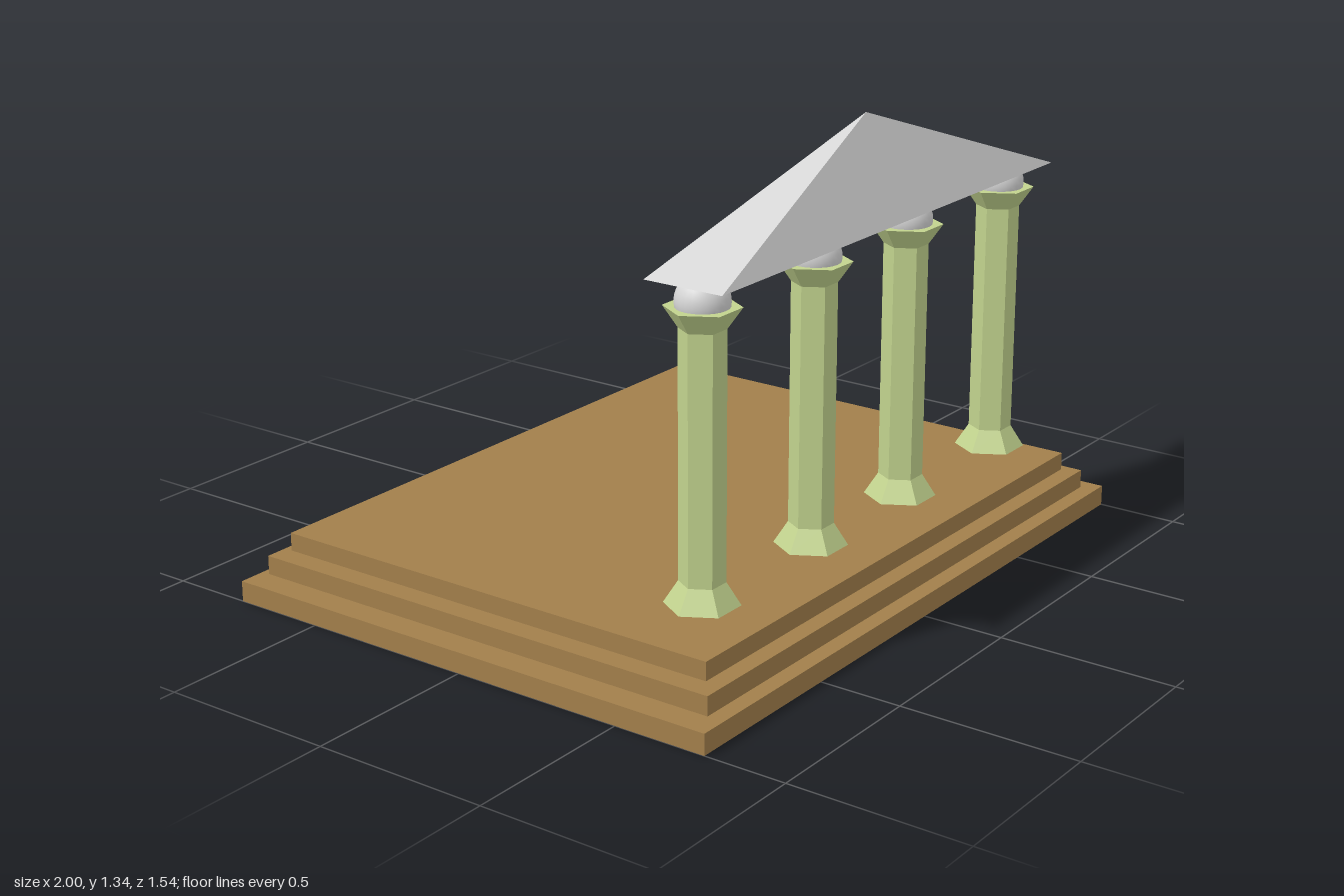
import * as THREE from 'three';

const wood = new THREE.MeshStandardMaterial({ name: 'woodBrown', color: 0xa27f4b });
const green = new THREE.MeshStandardMaterial({ name: 'paleGreen', color: 0xc2d38e });
const stone = new THREE.MeshStandardMaterial({ name: 'lightGrey', color: 0xd6d6d6 });

// Give every face its own flat normal
function facet(geometry) {
  const flat = geometry.toNonIndexed();
  flat.computeVertexNormals();
  return flat;
}

function add(parent, name, geometry, material, x, y, z) {
  const mesh = new THREE.Mesh(geometry, material);
  mesh.name = name;
  mesh.position.set(x, y, z);
  parent.add(mesh);
  return mesh;
}

// Six-sided drum with corners on the x axis, between two heights
function addDrum(parent, name, bottomRadius, topRadius, y0, y1) {
  const drum = new THREE.CylinderGeometry(topRadius, bottomRadius, y1 - y0, 6, 1, false, Math.PI / 6);
  add(parent, name, facet(drum), green, 0, (y0 + y1) / 2, 0);
}

function createColumn(x, z) {
  const column = new THREE.Group();
  column.name = 'column';
  addDrum(column, 'columnBase', 0.098, 0.06, 0.23, 0.29);
  addDrum(column, 'columnShaft', 0.06, 0.06, 0.29, 0.945);
  addDrum(column, 'columnCapital', 0.06, 0.098, 0.945, 1.0);
  add(column, 'columnBall', new THREE.SphereGeometry(0.07, 24, 16), stone, 0, 1.013, 0);
  column.position.set(x, 0, z);
  return column;
}

export function createModel() {
  const temple = new THREE.Group();
  temple.name = 'temple';

  // Stepped platform: half width, half depth, bottom, top (thin gaps between slabs)
  const steps = [
    [1.0, 0.768, 0, 0.058],
    [0.935, 0.73, 0.066, 0.119],
    [0.886, 0.69, 0.128, 0.179],
  ];
  for (const [hx, hz, y0, y1] of steps) {
    add(temple, 'step', new THREE.BoxGeometry(2 * hx, y1 - y0, 2 * hz), wood, 0, (y0 + y1) / 2, 0);
  }

  // Row of columns along the front
  for (const x of [-0.706, -0.223, 0.217, 0.705]) temple.add(createColumn(x, 0.548));

  // Pediment: stretched four-sided pyramid
  const pyramid = new THREE.ConeGeometry(Math.SQRT2, 0.275, 4, 1, false, Math.PI / 4);
  pyramid.scale(0.79, 1, 0.115);
  add(temple, 'pediment', facet(pyramid), stone, -0.007, 1.2065, 0.555);

  return temple;
}
